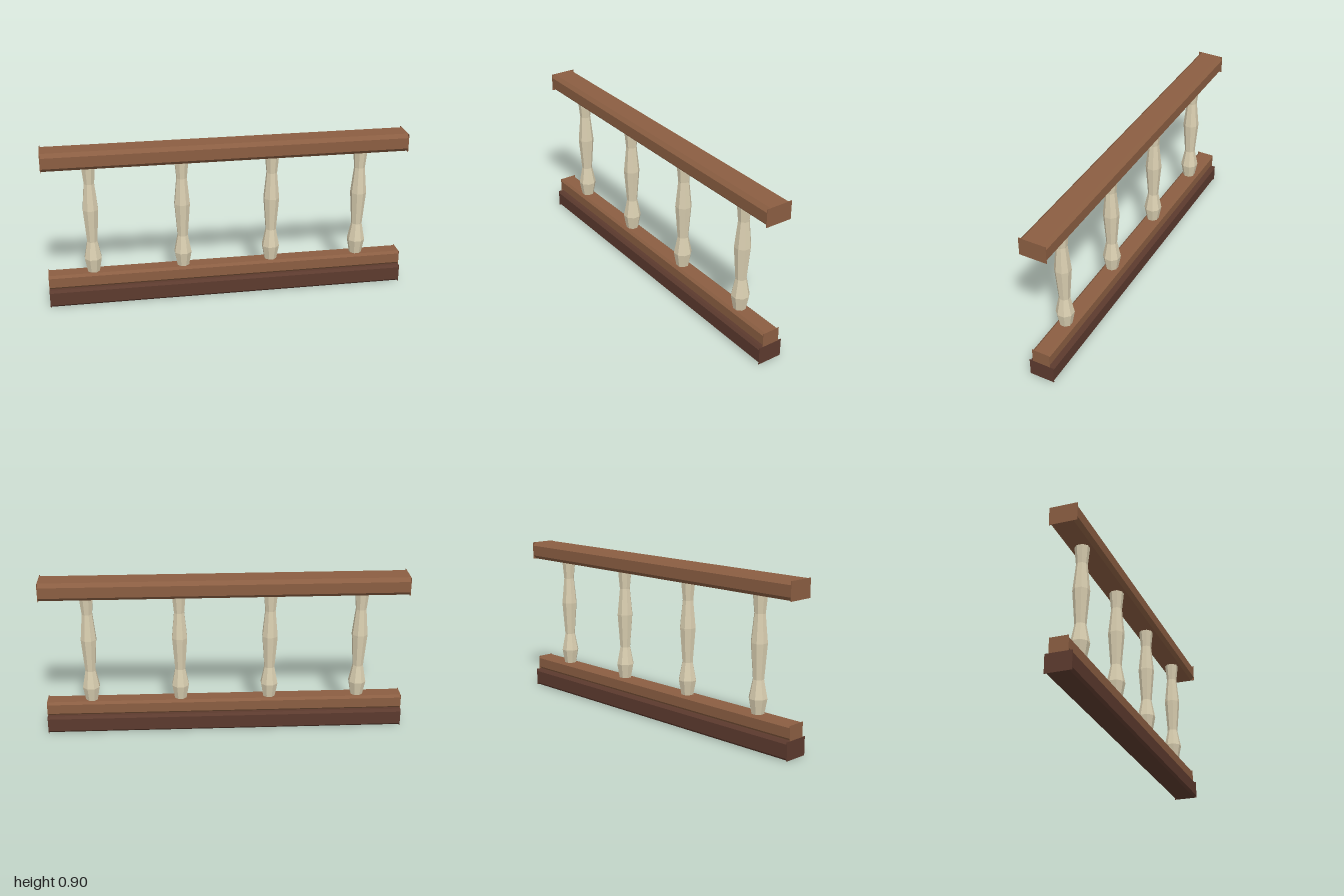
import * as THREE from 'three';

const LENGTH = 2;
const PLATE = 0.003; // thickness of the square end plates

// Chamfered beam along x, closed by a full rectangular plate at each end
function makeBeam(name, y0, y1, halfDepth, c, material) {
  const beam = new THREE.Group();
  beam.name = name;
  const d = halfDepth;
  const section = new THREE.Shape([
    [-d + c, y0], [d - c, y0], [d, y0 + c], [d, y1 - c],
    [d - c, y1], [-d + c, y1], [-d, y1 - c], [-d, y0 + c],
  ].map(([x, y]) => new THREE.Vector2(x, y)));
  const bodyLength = LENGTH - 2 * PLATE;
  const bodyGeometry = new THREE.ExtrudeGeometry(section, { depth: bodyLength, bevelEnabled: false });
  bodyGeometry.translate(0, 0, -bodyLength / 2).rotateY(Math.PI / 2);
  const body = new THREE.Mesh(bodyGeometry, material);
  body.name = name + 'Body';
  beam.add(body);

  const plateGeometry = new THREE.BoxGeometry(PLATE, y1 - y0, 2 * d);
  for (const side of [-1, 1]) {
    const plate = new THREE.Mesh(plateGeometry, material);
    plate.name = name + (side > 0 ? 'LeftEnd' : 'RightEnd');
    plate.position.set(side * (LENGTH - PLATE) / 2, (y0 + y1) / 2, 0);
    beam.add(plate);
  }
  return beam;
}

export function createModel() {
  const railWood = new THREE.MeshStandardMaterial({ color: 0x8b5e42 });
  railWood.name = 'railWood';
  const baseWood = new THREE.MeshStandardMaterial({ color: 0x5c3a2e });
  baseWood.name = 'darkBaseWood';
  const paleWood = new THREE.MeshStandardMaterial({ color: 0xd9ceb0, flatShading: true });
  paleWood.name = 'paleBalusterWood';

  const railing = new THREE.Group();
  railing.name = 'railing';

  // Base, lower rail and handrail
  railing.add(
    makeBeam('base', 0, 0.1, 0.07, 0.013, baseWood),
    makeBeam('lowerRail', 0.1, 0.18, 0.05, 0.013, railWood),
    makeBeam('handrail', 0.8, 0.9, 0.075, 0.02, railWood),
  );

  // Turned eight-sided balusters, flat faces towards the front
  const profile = [
    [0, 0.18], [0.035, 0.18], [0.05, 0.26], [0.03, 0.36],
    [0.045, 0.55], [0.03, 0.7], [0.04, 0.8], [0, 0.8],
  ].map(([r, y]) => new THREE.Vector2(r, y));
  const balusterGeometry = new THREE.LatheGeometry(profile, 8, Math.PI / 8);
  for (let i = 0; i < 4; i++) {
    const baluster = new THREE.Mesh(balusterGeometry, paleWood);
    baluster.name = 'baluster' + (i + 1);
    baluster.position.x = -0.75 + i * 0.5;
    railing.add(baluster);
  }
  return railing;
}
